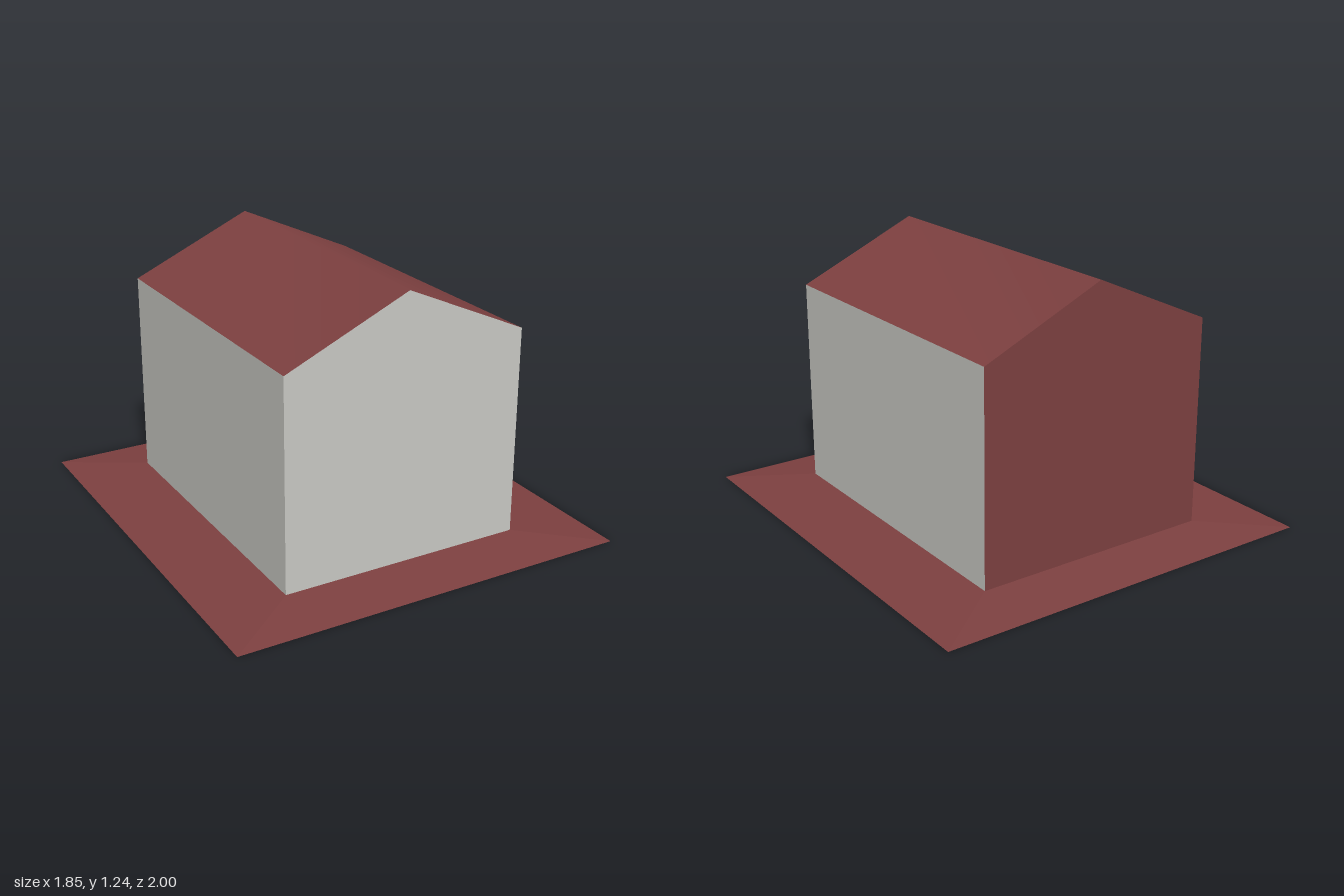
import * as THREE from 'three';

const W = 0.57, D = 0.73, BASE = 0.025, EAVE = 0.985, RIDGE = 1.24; // house
const GW = 0.925, GD = 1; // ground apron half sizes

export function createModel() {
  const group = new THREE.Group();
  const plaster = new THREE.MeshStandardMaterial({ color: 0xc9c9c4 });
  plaster.name = 'greyPlaster';
  const red = new THREE.MeshStandardMaterial({ color: 0x7d4040 });
  red.name = 'brickRed';

  const add = (name, geometry, material) => {
    const mesh = new THREE.Mesh(geometry, material);
    mesh.name = name;
    group.add(mesh);
    return mesh;
  };
  const surface = (points, index) => {
    const g = new THREE.BufferGeometry();
    g.setAttribute('position', new THREE.Float32BufferAttribute(points.flat(), 3));
    g.setIndex(index);
    g.computeVertexNormals();
    return g;
  };
  const quad = (...corners) => surface(corners, [0, 1, 2, 0, 2, 3]);

  // Gable walls: plaster at the front, red at the back
  const gable = new THREE.ShapeGeometry(new THREE.Shape([
    [-W, BASE], [W, BASE], [W, EAVE], [0, RIDGE], [-W, EAVE],
  ].map(([x, y]) => new THREE.Vector2(x, y))));
  add('frontWall', gable, plaster).position.z = D;
  const back = add('backWall', gable, red);
  back.position.z = -D;
  back.rotation.y = Math.PI;

  // Side walls
  for (const s of [1, -1]) {
    add(s > 0 ? 'leftWall' : 'rightWall', quad(
      [s * W, BASE, s * D], [s * W, BASE, -s * D], [s * W, EAVE, -s * D], [s * W, EAVE, s * D],
    ), plaster);
  }

  // Roof: two slopes sharing a softly shaded ridge
  add('roof', surface([
    [-W, EAVE, D], [0, RIDGE, D], [W, EAVE, D],
    [-W, EAVE, -D], [0, RIDGE, -D], [W, EAVE, -D],
  ], [0, 1, 4, 0, 4, 3, 1, 2, 5, 1, 5, 4]), red);

  // Sloping apron around the house, one side at a time
  const outer = [[-GW, GD], [GW, GD], [GW, -GD], [-GW, -GD]];
  const inner = [[-W, D], [W, D], [W, -D], [-W, -D]];
  ['front', 'left', 'back', 'right'].forEach((side, i) => {
    const j = (i + 1) % 4;
    const low = ([x, z]) => [x, 0, z], high = ([x, z]) => [x, BASE, z];
    add(side + 'Apron', quad(low(outer[i]), low(outer[j]), high(inner[j]), high(inner[i])), red);
  });

  // Underside
  add('underside', quad([-GW, 0, -GD], [GW, 0, -GD], [GW, 0, GD], [-GW, 0, GD]), plaster);

  return group;
}
